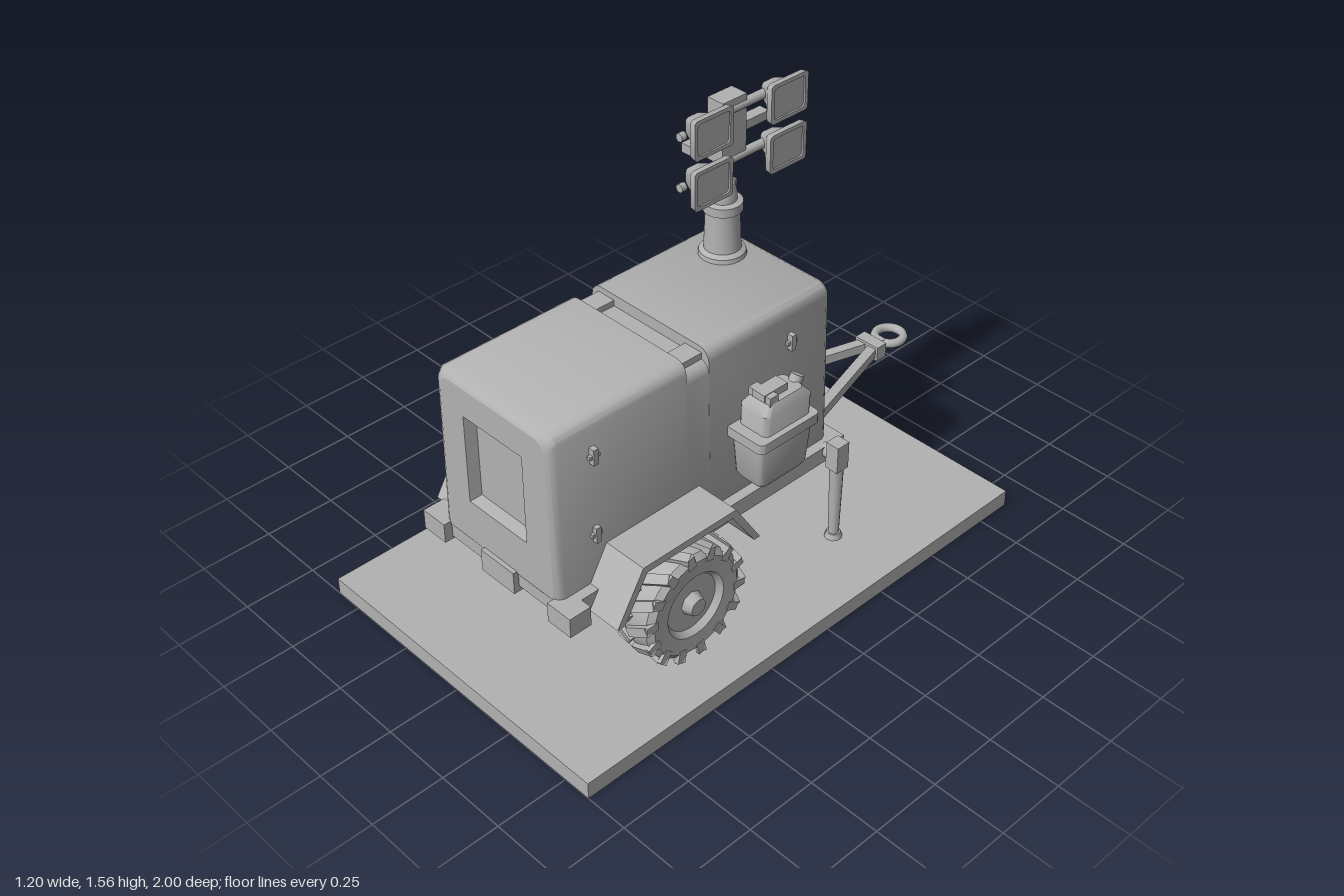
import * as THREE from 'three';
import { toCreasedNormals } from 'three/addons/utils/BufferGeometryUtils.js';

const paint = new THREE.MeshStandardMaterial({ color: 0xb2b2b2 });
paint.name = 'plain grey';

function add(parent, name, geo, x = 0, y = 0, z = 0) {
  const m = new THREE.Mesh(geo, paint);
  m.name = name;
  m.position.set(x, y, z);
  parent.add(m);
  return m;
}
function group(parent, name, x = 0, y = 0, z = 0) {
  const g = new THREE.Group();
  g.name = name;
  g.position.set(x, y, z);
  parent.add(g);
  return g;
}
const box = (w, h, d) => new THREE.BoxGeometry(w, h, d);
const cyl = (a, b, h, n = 20) => new THREE.CylinderGeometry(a, b, h, n);

// Rounded rectangle, counter-clockwise seen from +z; ht is the half width at the top
function ring(z, hb, ht, y0, y1, rb, rt = rb) {
  const pts = [];
  const corner = (x, y, r, a0) => {
    for (let i = 0; i <= 4; i++) {
      const a = a0 + (i / 4) * Math.PI / 2;
      pts.push(new THREE.Vector3(x + r * Math.cos(a), y + r * Math.sin(a), z));
    }
  };
  corner(hb - rb, y0 + rb, rb, -Math.PI / 2);
  corner(ht - rt, y1 - rt, rt, 0);
  corner(-ht + rt, y1 - rt, rt, Math.PI / 2);
  corner(-hb + rb, y0 + rb, rb, Math.PI);
  return pts;
}
// Skin between rings listed from high z to low z
function loft(rings, capStart = true, capEnd = true, crease = 0.7) {
  const pos = [];
  const tri = (...ps) => ps.forEach(p => pos.push(p.x, p.y, p.z));
  const n = rings[0].length;
  const mid = r => r.reduce((s, p) => s.add(p), new THREE.Vector3()).divideScalar(n);
  for (let j = 0; j < n; j++) {
    const k = (j + 1) % n;
    for (let i = 0; i + 1 < rings.length; i++) {
      const a = rings[i], b = rings[i + 1];
      tri(a[j], b[j], a[k]);
      tri(b[j], b[k], a[k]);
    }
    const f = rings[0], l = rings[rings.length - 1];
    if (capStart) tri(mid(f), f[j], f[k]);
    if (capEnd) tri(mid(l), l[k], l[j]);
  }
  const g = new THREE.BufferGeometry();
  g.setAttribute('position', new THREE.Float32BufferAttribute(pos, 3));
  return toCreasedNormals(g, crease);
}

// Square beam between two points
function beam(parent, name, p, q, w, h) {
  const a = new THREE.Vector3(...p), b = new THREE.Vector3(...q);
  const m = add(parent, name, box(w, h, a.distanceTo(b)));
  m.position.copy(a).add(b).multiplyScalar(0.5);
  m.lookAt(b);
}

function buildCabinet(root) {
  const g = group(root, 'cabinet');
  const sec = (z, inset, top = 0.985) =>
    ring(z, 0.265 - inset, 0.255 - inset, 0.37 + inset, top - inset, 0.015, 0.04);
  const front = sec(0.8, 0.025), back = sec(-0.335, 0.025);
  // Shell with rounded ends and a slot across the roof
  add(g, 'shell', loft([front, sec(0.793, 0.01), sec(0.775, 0),
    sec(0.28, 0), sec(0.28, 0, 0.945), sec(0.19, 0, 0.945), sec(0.19, 0),
    sec(-0.31, 0), sec(-0.328, 0.01), back], false, false));
  for (const s of [-1, 1]) add(g, 'slotBlock', box(0.07, 0.03, 0.09), s * 0.19, 0.95, 0.235);
  // End panels, each with a recess
  const panel = (name, hw, y0, y1, depth, inner) => {
    const e = group(g, name);
    const shape = new THREE.Shape(front.map(p => new THREE.Vector2(p.x, p.y)));
    const rect = (z, k) => [[-hw + k, y0 + k], [-hw + k, y1 - k], [hw - k, y1 - k], [hw - k, y0 + k]]
      .map(([x, y]) => new THREE.Vector3(x, y, z));
    shape.holes.push(new THREE.Path(rect(0, 0).map(p => new THREE.Vector2(p.x, p.y))));
    add(e, 'endFace', new THREE.ShapeGeometry(shape));
    add(e, 'recess', loft([rect(0, 0), rect(-depth, inner)], false, true, 0.3));
    return e;
  };
  panel('frontPanel', 0.13, 0.545, 0.86, 0.04, 0.008).position.z = 0.8;
  const rear = panel('rearPanel', 0.18, 0.47, 0.9, 0.015, 0.04);
  rear.position.z = -0.335;
  rear.rotation.y = Math.PI;
  // Hinges on both sides
  for (const s of [-1, 1]) for (const z of [0.65, -0.15]) for (const y of [0.575, 0.86]) {
    add(g, 'hinge', box(0.022, 0.055, 0.018), s * 0.266, y, z);
    add(g, 'hingeLeaf', box(0.012, 0.012, 0.04), s * 0.266, y, z);
  }
  add(g, 'sideLatch', box(0.025, 0.05, 0.035), -0.268, 0.7, 0.25);
}

function buildFrame(root) {
  const g = group(root, 'frame');
  add(g, 'floor', box(0.5, 0.04, 1.1), 0, 0.37, 0.22);
  add(g, 'rearCrossMember', box(0.6, 0.06, 0.06), 0, 0.37, -0.345);
  add(g, 'frontBeam', box(0.6, 0.06, 0.06), 0, 0.37, 0.765);
  add(g, 'centreStep', box(0.15, 0.08, 0.05), 0, 0.36, 0.79);
  for (const s of [-1, 1]) {
    add(g, 'sideRail', box(0.05, 0.06, 1.12), s * 0.275, 0.37, 0.2);
    add(g, 'bumperEnd', box(0.1, 0.07, 0.08), s * 0.29, 0.365, 0.785);
    // Stabiliser legs
    add(g, 'legArm', cyl(0.025, 0.025, 0.07, 12), s * 0.32, 0.38, -0.3).rotation.z = Math.PI / 2;
    add(g, 'legSleeve', box(0.05, 0.1, 0.052), s * 0.35, 0.395, -0.29);
    add(g, 'legPost', cyl(0.024, 0.018, 0.3, 10), s * 0.35, 0.21, -0.29);
    add(g, 'legFoot', cyl(0.024, 0.03, 0.02, 10), s * 0.35, 0.07, -0.29);
    // Drawbar
    beam(g, 'drawbarArm', [s * 0.16, 0.368, -0.35], [s * 0.02, 0.368, -0.83], 0.035, 0.035);
  }
  add(g, 'crankKnob', cyl(0.04, 0.04, 0.015, 12), -0.39, 0.4, -0.3).rotation.z = Math.PI / 2;
  add(g, 'coupler', box(0.1, 0.055, 0.045), 0, 0.368, -0.84);
  add(g, 'hitchNeck', box(0.04, 0.03, 0.04), 0, 0.368, -0.875);
  add(g, 'hitchRing', new THREE.TorusGeometry(0.049, 0.016, 8, 20).rotateX(Math.PI / 2), 0, 0.368, -0.935);
}

function buildWheel(root, s) {
  const g = group(root, s > 0 ? 'leftWheel' : 'rightWheel', s * 0.37, 0.27, 0.425);
  g.rotation.y = s > 0 ? 0 : Math.PI;
  const profile = [[0.001, -0.055], [0.1, -0.055], [0.115, -0.075], [0.17, -0.077], [0.19, -0.06],
    [0.197, 0], [0.19, 0.06], [0.17, 0.077], [0.115, 0.075], [0.1, 0.055], [0.001, 0.055]]
    .map(p => new THREE.Vector2(...p));
  add(g, 'tyre', toCreasedNormals(new THREE.LatheGeometry(profile, 32).rotateZ(-Math.PI / 2), 0.6));
  add(g, 'hub', cyl(0.03, 0.045, 0.045, 8), 0.065).rotation.z = -Math.PI / 2;
  // Chevron tread
  const n = 14;
  for (let i = 0; i < n; i++) for (const h of [-1, 1]) {
    const spoke = group(g, 'treadLug');
    spoke.rotation.x = ((i + (h > 0 ? 0.5 : 0)) / n) * Math.PI * 2;
    const lug = add(spoke, 'lug', box(0.085, 0.022, 0.032), h * 0.037, 0.196, 0);
    lug.rotation.set(0, h * 0.5, -h * 0.1, 'ZYX');
    add(spoke, 'shoulderLug', box(0.012, 0.045, 0.03), h * 0.073, 0.178, -h * h * 0.02);
  }
}

function buildFender(root, s) {
  const shape = new THREE.Shape([[0.715, 0.34], [0.61, 0.515], [0.235, 0.515], [0.13, 0.35],
    [0.155, 0.35], [0.25, 0.49], [0.595, 0.49], [0.685, 0.34]].map(p => new THREE.Vector2(...p)));
  const geo = new THREE.ExtrudeGeometry(shape, { depth: 0.17, bevelEnabled: false })
    .rotateY(-Math.PI / 2).translate(0.085, 0, 0);
  add(root, s > 0 ? 'leftFender' : 'rightFender', geo, s * 0.335);
}

function buildCan(root) {
  const g = group(root, 'fuelCan', 0.325, 0, -0.01);
  // Lofted along y, from the top down
  const slab = (y, hx, z0, z1, r = 0.02) => ring(y, hx, hx, -z1, -z0, r);
  const up = rings => loft(rings).rotateX(-Math.PI / 2);
  add(g, 'can', up([slab(0.775, 0.045, -0.09, 0.06), slab(0.745, 0.06, -0.115, 0.085),
    slab(0.5, 0.06, -0.1, 0.09)]));
  add(g, 'holder', up([slab(0.63, 0.066, -0.115, 0.11), slab(0.5, 0.062, -0.1, 0.1),
    slab(0.48, 0.05, -0.09, 0.09)]));
  add(g, 'holderBand', up([slab(0.675, 0.08, -0.13, 0.125), slab(0.64, 0.08, -0.13, 0.125)]));
  add(g, 'handle', box(0.05, 0.025, 0.1), 0, 0.79, 0.012);
  for (const x of [-0.03, 0.03]) add(g, 'strap', box(0.03, 0.13, 0.035), x, 0.735, 0.04);
  const spout = add(g, 'spout', cyl(0.022, 0.022, 0.05, 12), 0, 0.765, -0.095);
  spout.rotation.x = -0.5;
}

function buildMast(root) {
  const g = group(root, 'lightMast', -0.1, 0, -0.215);
  const profile = [[0.001, 0.98], [0.078, 0.98], [0.075, 1.0], [0.06, 1.01], [0.055, 1.14],
    [0.064, 1.145], [0.064, 1.175], [0.045, 1.18], [0.045, 1.205], [0.036, 1.24],
    [0.026, 1.25], [0.026, 1.34]].map(p => new THREE.Vector2(...p));
  add(g, 'mastTube', toCreasedNormals(new THREE.LatheGeometry(profile, 20), 0.5));
  add(g, 'tiltJoint', box(0.04, 0.05, 0.08), 0, 1.215, 0);
  add(g, 'headBox', box(0.065, 0.21, 0.1), 0.002, 1.425, -0.013);
  add(g, 'crossArm', box(0.04, 0.03, 0.33), 0, 1.41, -0.01);
  // Four floodlights facing the left side
  const sec = (z, w, h) => ring(z, w, w, -h, h, 0.012);
  const lamp = loft([sec(-0.006, 0.066, 0.053), sec(0, 0.066, 0.053), sec(0, 0.079, 0.066),
    sec(-0.022, 0.076, 0.063), sec(-0.055, 0.045, 0.036), sec(-0.09, 0.03, 0.028)]).rotateY(Math.PI / 2);
  for (const y of [1.325, 1.495]) {
    for (const s of [-1, 1]) {
      const z = -0.022 + s * 0.158;
      add(g, 'floodlight', lamp, 0.1, y, z);
      add(g, 'lampKnob', cyl(0.014, 0.014, 0.02, 10), 0.045, y, z + s * 0.08).rotation.x = Math.PI / 2;
    }
    add(g, 'lampBar', cyl(0.016, 0.016, 0.31, 12), 0.025, y, -0.022).rotation.x = Math.PI / 2;
  }
}

export function createModel() {
  const root = new THREE.Group();
  root.name = 'lightTowerTrailer';
  add(root, 'basePlate', box(1.2, 0.06, 1.875), 0, 0.03, 0.0625);
  buildCabinet(root);
  buildFrame(root);
  for (const s of [-1, 1]) {
    buildWheel(root, s);
    buildFender(root, s);
  }
  buildCan(root);
  buildMast(root);
  return root;
}
